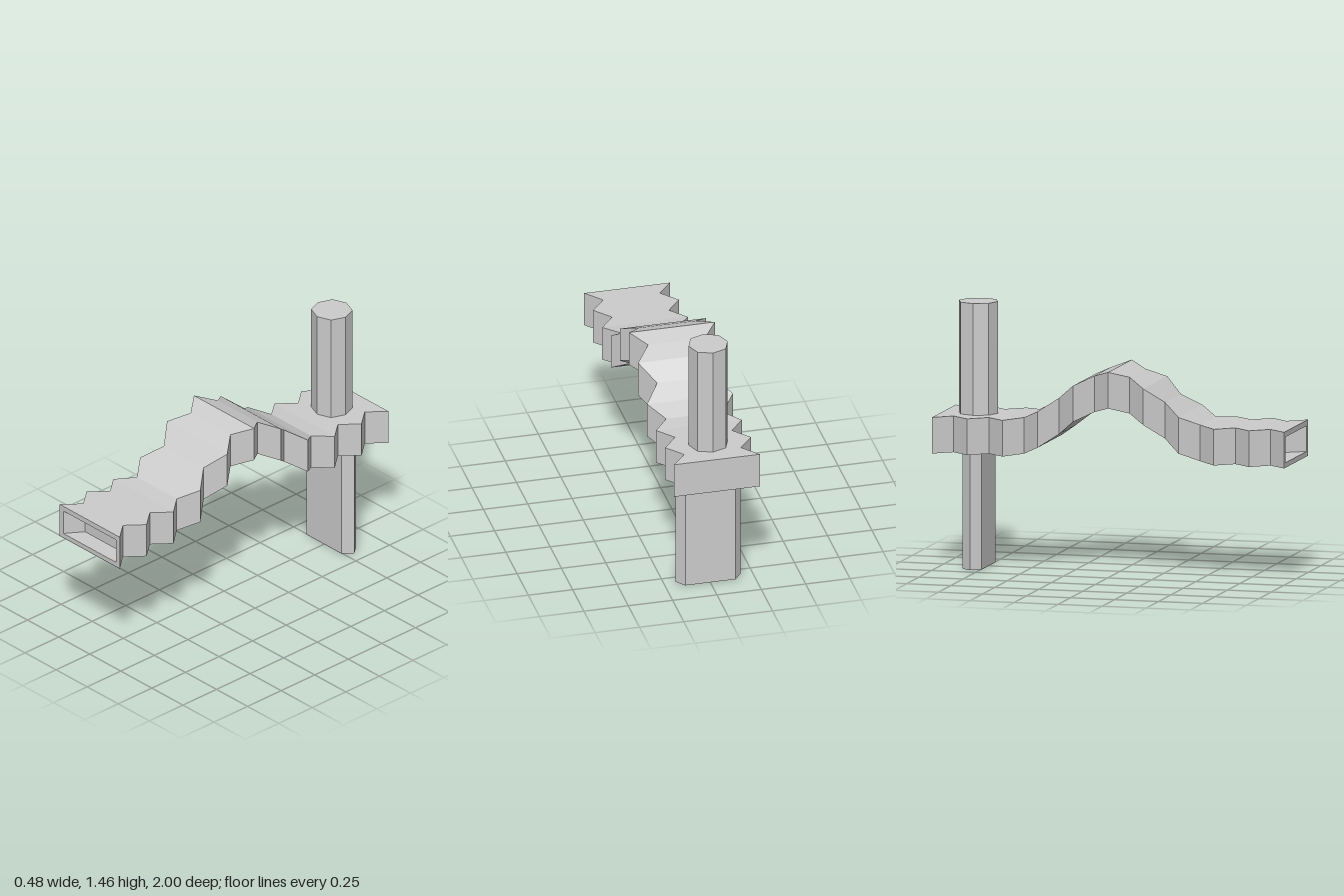
import * as THREE from 'three';

const material = new THREE.MeshStandardMaterial({ color: 0xcccccc, flatShading: true });

// Rectangular cross-section, counter-clockwise seen from the front
const ring = (w, y0, y1, z) => [[-w, y0, z], [w, y0, z], [w, y1, z], [-w, y1, z]];

// Skin four-cornered rings in order and cap both ends
function loft(rings) {
  const pos = [];
  const quad = (a, b, c, d) => pos.push(...a, ...b, ...c, ...a, ...c, ...d);
  for (let i = 0; i < rings.length - 1; i++) {
    const a = rings[i], b = rings[i + 1];
    for (let k = 0; k < 4; k++) {
      const n = (k + 1) % 4;
      quad(a[k], b[k], b[n], a[n]);
    }
  }
  quad(...rings[0]);
  quad(...[...rings[rings.length - 1]].reverse());
  const g = new THREE.BufferGeometry();
  g.setAttribute('position', new THREE.Float32BufferAttribute(pos, 3));
  g.computeVertexNormals();
  return g;
}

// Upright prism from an [x, z] outline centred on its own axis
function prism(outline, y0, y1) {
  const shape = new THREE.Shape(outline.map(([x, z]) => new THREE.Vector2(x, -z)));
  const g = new THREE.ExtrudeGeometry(shape, { depth: y1 - y0, bevelEnabled: false });
  return g.rotateX(-Math.PI / 2).translate(0, y0, 0);
}

export function createModel() {
  const model = new THREE.Group();
  const add = (name, geometry, z = 0) => {
    const mesh = new THREE.Mesh(geometry, material);
    mesh.name = name;
    mesh.position.z = z;
    model.add(mesh);
  };

  // Zigzag-sided arched bar: underside height for each 0.1 step from the middle
  const arch = [0.935, 0.9, 0.852, 0.77, 0.702, 0.653];
  const rings = [
    ring(0.145, 0.673, 0.815, 0.9), // pocket floor
    ring(0.212, 0.673, 0.815, 1), // pocket mouth
  ];
  for (let i = 10; i >= -10; i--) {
    const y = arch[Math.abs(i)] ?? 0.645;
    rings.push(ring(i % 2 ? 0.16 : 0.242, y, y + 0.2, i / 10));
  }
  add('archedBar', loft(rings));

  // Eight-sided post on top
  const post = [];
  for (let i = 0; i < 8; i++) {
    const a = (i * Math.PI) / 4, r = i % 2 ? 0.113 : 0.11;
    post.push([r * Math.cos(a), r * Math.sin(a)]);
  }
  add('post', prism(post, 0.84, 1.463), -0.803);

  // Flat six-sided blade below
  const blade = [[0.184, 0], [0.141, 0.054], [-0.141, 0.054], [-0.184, 0], [-0.141, -0.054], [0.141, -0.054]];
  add('blade', prism(blade, 0, 0.65), -0.8);

  return model;
}
